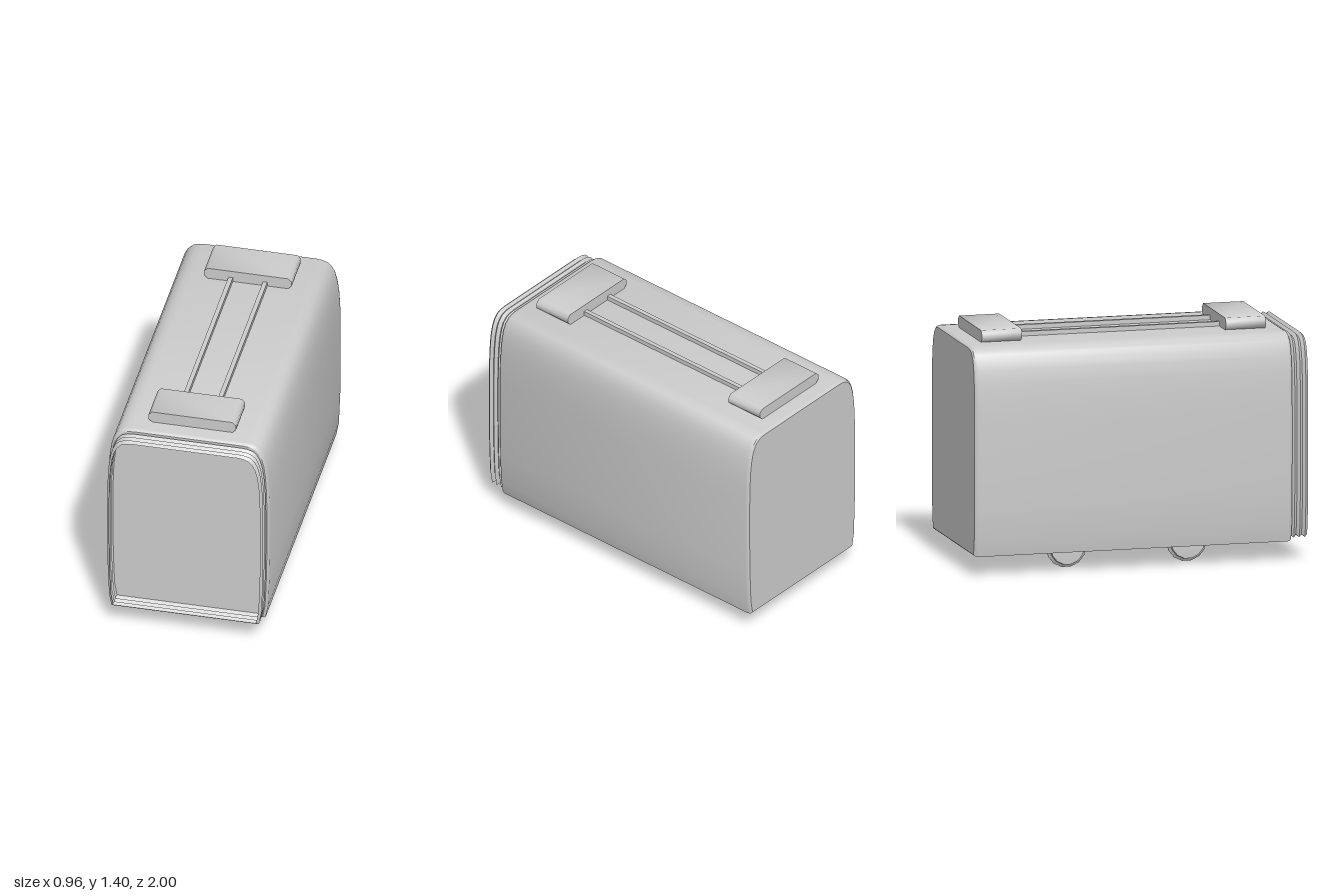
import * as THREE from 'three';
import { toCreasedNormals } from 'three/addons/utils/BufferGeometryUtils.js';

const CENTRE_Y = 0.725;

// Right half of the car's cross-section, bottom to top
const HALF = [[0.452, 0.117], [0.467, 0.2], [0.475, 0.4], [0.478, 0.6], [0.478, 0.9], [0.475, 1.03],
  [0.469, 1.13], [0.459, 1.205], [0.445, 1.258], [0.427, 1.294], [0.402, 1.319], [0.37, 1.331], [0.335, 1.335]];
const LOOP = [...HALF, ...HALF.map(([x, y]) => [-x, y]).reverse()];

// Cross-section shrunk by a margin, placed at depth z
function ring(z, inset) {
  const sx = 1 - inset / 0.478, sy = 1 - inset / 0.609;
  return LOOP.map(([x, y]) => [x * sx, CENTRE_Y + (y - CENTRE_Y) * sy, z]);
}

function geometryFrom(positions) {
  const g = new THREE.BufferGeometry();
  g.setAttribute('position', new THREE.Float32BufferAttribute(positions.flat(), 3));
  return toCreasedNormals(g, 0.6);
}

// Skin through [z, inset] sections
function loft(sections) {
  const rings = sections.map(([z, d]) => ring(z, d));
  const p = [], n = LOOP.length;
  for (let s = 0; s < rings.length - 1; s++) {
    for (let i = 0; i < n; i++) {
      const j = (i + 1) % n, a = rings[s], b = rings[s + 1];
      p.push(a[i], a[j], b[j], a[i], b[j], b[i]);
    }
  }
  return geometryFrom(p);
}

// Flat end wall facing +z or -z
function endCap(z, inset, facing) {
  const r = ring(z, inset), p = [], c = [0, CENTRE_Y, z];
  r.forEach((a, i) => {
    const b = r[(i + 1) % r.length];
    if (facing > 0) p.push(c, a, b);
    else p.push(c, b, a);
  });
  return geometryFrom(p);
}

export function createModel() {
  const group = new THREE.Group();
  const grey = new THREE.MeshStandardMaterial({ name: 'grey', color: 0xcccccc, side: THREE.DoubleSide });

  const add = (name, geometry, x = 0, y = 0, z = 0) => {
    const mesh = new THREE.Mesh(geometry, grey);
    mesh.name = name;
    mesh.position.set(x, y, z);
    group.add(mesh);
    return mesh;
  };

  // Car body with softened ends
  add('body', loft([[-1, 0.012], [-0.992, 0.004], [-0.975, 0], [0.88, 0], [0.893, 0.005], [0.9, 0.014]]));
  add('backWall', endCap(-1, 0.012, -1));
  add('frontWall', endCap(0.9, 0.014, 1));

  // Open pleated gangway at the front
  const pleats = [];
  for (let i = 0; i <= 6; i++) pleats.push([0.9 + i * 0.1 / 6, i % 2 ? 0.017 : 0.032]);
  add('gangwayBellows', loft(pleats));

  // Roof boxes with clipped long edges
  const w = 0.258, h = 0.07, c = 0.02;
  const outline = new THREE.Shape([[-w + c, 0], [w - c, 0], [w, c], [w, h - c], [w - c, h],
    [-w + c, h], [-w, h - c], [-w, c]].map(([x, y]) => new THREE.Vector2(x, y)));
  for (const z of [-0.9, 0.56]) {
    const box = new THREE.ExtrudeGeometry(outline, { depth: 0.24, bevelEnabled: false });
    add('roofBox', toCreasedNormals(box, 0.85), 0, 1.335, z);
  }

  // Twin roof pipes
  for (const x of [-0.102, 0.102]) {
    add('roofPipe', new THREE.BoxGeometry(0.026, 0.035, 1.24), x, 1.344, -0.05);
  }

  // Flanged wheels on axles: [radius, distance from the car's centre line]
  const wheelProfile = [[0, 0.277], [0.1, 0.279], [0.12, 0.288], [0.12, 0.293], [0.103, 0.305],
    [0.1, 0.326], [0.086, 0.328], [0, 0.32]].map(([r, d]) => new THREE.Vector2(r, d));
  for (const z of [0.315, -0.405]) {
    for (const turn of [0, Math.PI]) {
      const wheel = new THREE.LatheGeometry(wheelProfile, 14).rotateZ(-Math.PI / 2);
      add('wheel', toCreasedNormals(wheel, 0.6), 0, 0.12, z).rotation.y = turn;
    }
    add('axle', new THREE.CylinderGeometry(0.013, 0.013, 0.56, 10).rotateZ(Math.PI / 2), 0, 0.118, z);
    add('axleBearing', new THREE.BoxGeometry(0.72, 0.014, 0.03), 0, 0.122, z);
  }

  return group;
}
